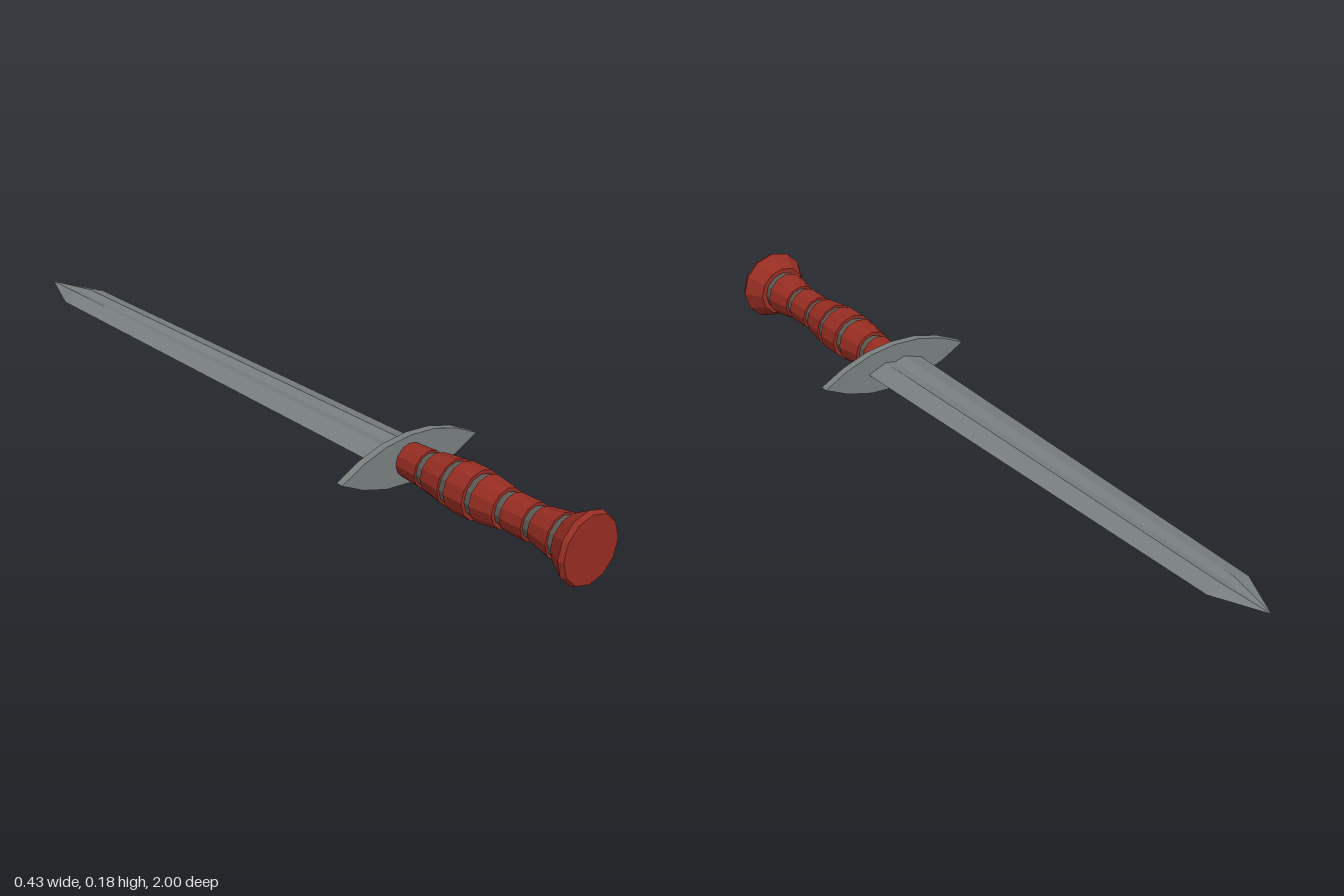
import * as THREE from 'three';

const AXIS_Y = 0.092;
const GRIP_X = -0.004;

function material(name, color) {
  const m = new THREE.MeshStandardMaterial({ color, flatShading: true });
  m.name = name;
  return m;
}

export function createModel() {
  const steel = material('steel', 0x797f7f);
  const red = material('red grip', 0x962d22);
  const bandGrey = material('band grey', 0x5c5a54);

  const model = new THREE.Group();
  model.name = 'shortSword';

  function add(parent, name, geometry, mat) {
    const mesh = new THREE.Mesh(geometry, mat);
    mesh.name = name;
    parent.add(mesh);
    return mesh;
  }

  // Twelve-sided solid turned about the sword's long axis; profile is [radius, z]
  function turned(profile) {
    const first = profile[0], last = profile[profile.length - 1];
    const points = [[0, first[1]], ...profile, [0, last[1]]]
      .map(([r, z]) => new THREE.Vector2(r, z));
    return new THREE.LatheGeometry(points, 12).rotateX(Math.PI / 2);
  }

  // Blade: hollow-ground cross-section with a shallow central groove
  const sections = [
    { z: 0.41, edge: 0.082, ridge: 0.03, high: 0.019, groove: 0.012 },
    { z: -0.86, edge: 0.062, ridge: 0.02, high: 0.014, groove: 0.008 },
    { z: -1, edge: 0, ridge: 0, high: 0, groove: 0 },
  ];
  const rings = sections.map(({ z, edge, ridge, high, groove }) => [
    [edge, 0], [ridge, high], [0, groove], [-ridge, high],
    [-edge, 0], [-ridge, -high], [0, -groove], [ridge, -high],
  ].map(([x, y]) => [x, y, z]));
  const corners = [];
  for (let s = 0; s < 2; s++) {
    for (let i = 0; i < 8; i++) {
      const j = (i + 1) % 8;
      const a = rings[s][i], b = rings[s][j], c = rings[s + 1][j], d = rings[s + 1][i];
      corners.push(...a, ...c, ...b);
      if (s === 0) corners.push(...a, ...d, ...c);
    }
  }
  const bladeGeometry = new THREE.BufferGeometry();
  bladeGeometry.setAttribute('position', new THREE.Float32BufferAttribute(corners, 3));
  bladeGeometry.computeVertexNormals();
  add(model, 'blade', bladeGeometry, steel).position.y = AXIS_Y + 0.001;

  // Guard: thin pointed plate
  const upper = [[0.214, 0], [0.148, 0.033], [0.075, 0.055], [0, 0.062],
    [-0.075, 0.055], [-0.148, 0.033]];
  const outline = [...upper, ...upper.map(([x, y]) => [-x, -y])]
    .map(([x, y]) => new THREE.Vector2(x, y));
  const guardGeometry = new THREE.ExtrudeGeometry(new THREE.Shape(outline),
    { depth: 0.02, bevelEnabled: false });
  add(model, 'guard', guardGeometry, steel).position.set(0, AXIS_Y + 0.001, 0.406);

  // Handle: red segments separated by recessed bands
  const handle = new THREE.Group();
  handle.name = 'handle';
  handle.position.set(GRIP_X, AXIS_Y, 0);
  model.add(handle);

  const segments = [ // z start, z end, radius at start, radius at end
    [0.42, 0.492, 0.043, 0.048],
    [0.514, 0.58, 0.051, 0.06],
    [0.602, 0.662, 0.063, 0.063],
    [0.682, 0.746, 0.06, 0.051],
    [0.766, 0.832, 0.048, 0.048],
    [0.852, 0.918, 0.047, 0.059],
  ];
  segments.forEach(([z0, z1, r0, r1], i) => {
    add(handle, 'gripSegment' + (i + 1), turned([[r0, z0], [r1, z1]]), red);
    const next = segments[i + 1];
    const end = next ? next[0] : 0.942;
    const radius = Math.min(r1, next ? next[2] : r1) - 0.006;
    add(handle, 'gripBand' + (i + 1), turned([[radius, z1 - 0.004], [radius, end + 0.004]]), bandGrey);
  });

  // Flared pommel with a chamfered end
  add(handle, 'pommel', turned([[0.066, 0.94], [0.092, 0.987], [0.086, 1]]), red);

  return model;
}
